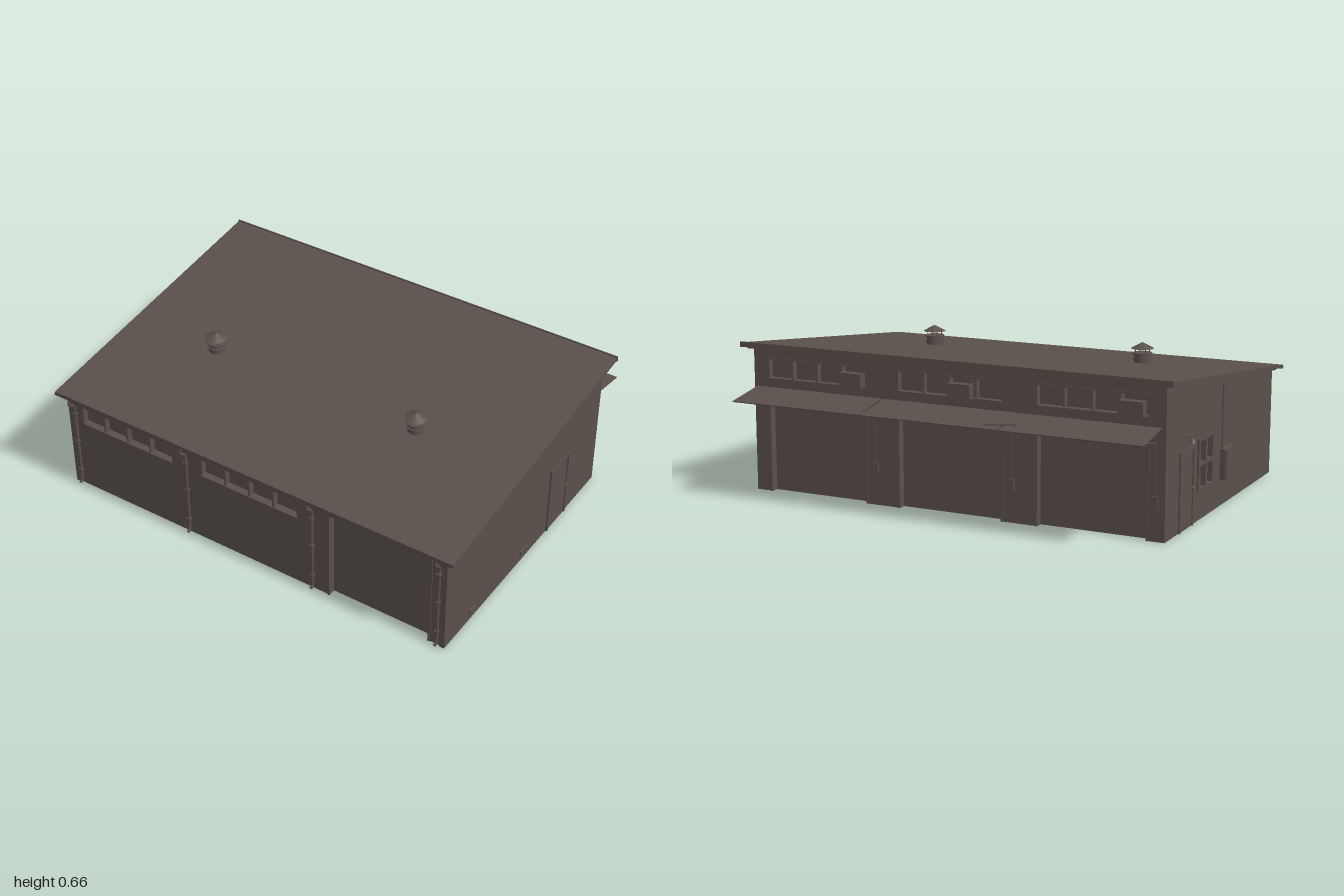
import * as THREE from 'three';

const brown = new THREE.MeshStandardMaterial({ color: 0x5a504a, side: THREE.DoubleSide });
brown.name = 'weathered brown';

const X = 0.957, ZF = 0.715, ZB = -0.565, T = 0.012; // wall faces and thickness
const under = (z) => 0.475 + (0.755 - z) * 0.1176;   // underside of the sloping roof
const BAYS = [-0.64, 0, 0.64];

function mesh(parent, name, geo, x = 0, y = 0, z = 0) {
  const m = new THREE.Mesh(geo, brown);
  m.name = name;
  m.position.set(x, y, z);
  parent.add(m);
  return m;
}

// Box given by its limits
function box(parent, name, x0, x1, y0, y1, z0, z1) {
  return mesh(parent, name, new THREE.BoxGeometry(x1 - x0, y1 - y0, z1 - z0),
    (x0 + x1) / 2, (y0 + y1) / 2, (z0 + z1) / 2);
}

// Round bar between two points
function rod(parent, name, a, b, r = 0.004) {
  const p = new THREE.Vector3(...a), q = new THREE.Vector3(...b);
  const m = mesh(parent, name, new THREE.CylinderGeometry(r, r, p.distanceTo(q), 8));
  m.position.copy(p).add(q).multiplyScalar(0.5);
  m.quaternion.setFromUnitVectors(new THREE.Vector3(0, 1, 0), q.sub(p).normalize());
  return m;
}

const poly = (pts) => new THREE.Shape(pts.map(([a, b]) => new THREE.Vector2(a, b)));
const rect = (a0, a1, b0, b1) => poly([[a0, b0], [a1, b0], [a1, b1], [a0, b1]]);

function wallGeometry(outline, holes) {
  const s = poly(outline);
  holes.forEach((h) => s.holes.push(rect(...h)));
  return new THREE.ExtrudeGeometry(s, { depth: T, bevelEnabled: false });
}

// Wall outline with door openings cut up from the ground
function groundOutline(w, h, doors) {
  const pts = [[-w, 0]];
  doors.forEach(([a, b, top]) => pts.push([a, 0], [a, top], [b, top], [b, 0]));
  pts.push([w, 0], [w, h], [-w, h]);
  return pts;
}

// Four-pane strip window; out is the outward z direction
function stripWindow(parent, cx, y0, y1, face, out) {
  const g = new THREE.Group();
  g.name = 'stripWindow';
  const w = 0.245, back = face - out * 0.03;
  box(g, 'windowPanes', cx - w, cx + w, y0, y1, back - 0.002, back + 0.002);
  for (let i = 0; i <= 4; i++) {
    const x = cx - w + i * w / 2;
    box(g, 'mullion', x - 0.004, x + 0.004, y0, y1, Math.min(back, face), Math.max(back, face));
  }
  for (const y of [y0, y1])
    box(g, 'windowRail', cx - w, cx + w, y - 0.004, y + 0.004, Math.min(back, face + out * 0.004), Math.max(back, face + out * 0.004));
  parent.add(g);
}

// Wide bay door set back in its opening
function bayDoor(parent, cx, top, face, out) {
  const g = new THREE.Group();
  g.name = 'bayDoor';
  const w = 0.243, back = face - out * 0.035, zs = [back, face + out * 0.004].sort((a, b) => a - b);
  box(g, 'doorPanel', cx - w, cx + w, 0, top, back - 0.003, back + 0.003);
  for (const s of [-1, 1]) box(g, 'doorJamb', cx + s * w - 0.005, cx + s * w + 0.005, 0, top, ...zs);
  box(g, 'doorLintel', cx - w, cx + w, top - 0.005, top + 0.005, ...zs);
  parent.add(g);
}

// Personnel door with frame on a side wall
function sideDoor(parent, side, z0, z1, top, knobZ) {
  const g = new THREE.Group();
  g.name = 'sideDoor';
  const f = (name, d, ...r) => box(g, name, Math.min(side * X, side * (X + d)), Math.max(side * X, side * (X + d)), ...r);
  f('doorLeaf', 0.002, 0, top, z0, z1);
  f('doorFrame', 0.007, 0, top, z0, z0 + 0.01);
  f('doorFrame', 0.007, 0, top, z1 - 0.01, z1);
  f('doorFrame', 0.007, top - 0.01, top, z0, z1);
  mesh(g, 'doorKnob', new THREE.SphereGeometry(0.007, 10, 8), side * (X + 0.008), 0.16, knobZ);
  parent.add(g);
}

export function createModel() {
  const root = new THREE.Group();
  root.name = 'garage';

  // Front and back walls
  mesh(root, 'frontWall', wallGeometry(groundOutline(X, under(ZF), [[0.395, 0.882, 0.44]]),
    [[-0.885, -0.395, 0.345, 0.44], [-0.245, 0.245, 0.345, 0.44]]), 0, 0, ZF - T);
  mesh(root, 'backWall', wallGeometry(groundOutline(X, under(ZB), BAYS.map((c) => [c - 0.243, c + 0.243, 0.43])),
    BAYS.map((c) => [c - 0.245, c + 0.245, 0.5, 0.59])), 0, 0, ZB);
  for (const c of [-0.64, 0]) stripWindow(root, c, 0.345, 0.44, ZF, 1);
  bayDoor(root, 0.639, 0.44, ZF, 1);
  for (const c of BAYS) {
    stripWindow(root, c, 0.5, 0.59, ZB, -1);
    bayDoor(root, c, 0.43, ZB, -1);
  }

  // Side walls follow the roof slope
  const sideOutline = [[ZB, 0], [ZF, 0], [ZF, under(ZF)], [ZB, under(ZB)]];
  const left = mesh(root, 'sideWall', wallGeometry(sideOutline, []), X);
  const right = mesh(root, 'sideWall', wallGeometry(sideOutline, [[-0.21, -0.05, 0.13, 0.34]]), -X + T);
  left.rotation.y = right.rotation.y = -Math.PI / 2;

  // Roof slab, with a thinner trim board below it
  const slab = (name, z0, z1, lo, hi, half) => {
    const s = poly([[z0, under(z0) + lo], [z1, under(z1) + lo], [z1, under(z1) + hi], [z0, under(z0) + hi]]);
    const m = mesh(root, name, new THREE.ExtrudeGeometry(s, { depth: half * 2, bevelEnabled: false }), half);
    m.rotation.y = -Math.PI / 2;
  };
  slab('roof', -0.605, 0.752, 0.007, 0.021, 0.998);
  slab('roofTrim', -0.585, 0.725, -0.004, 0.007, 0.975);
  box(root, 'backFascia', -1, 1, 0.637, 0.66, -0.608, -0.602);

  // Gutter and downpipes
  const gutter = mesh(root, 'gutter', new THREE.CylinderGeometry(0.013, 0.013, 1.996, 10, 1, true, -Math.PI / 2, Math.PI), 0, 0.492, 0.747);
  gutter.rotation.set(0, 0, Math.PI / 2);
  gutter.rotation.order = 'XYZ';
  gutter.geometry.rotateY(-Math.PI / 2);
  for (const x of [-0.922, -0.32, 0.32, 0.922]) {
    const path = new THREE.CatmullRomCurve3([[0.478, 0.75], [0.455, 0.753], [0.435, 0.728], [0.41, 0.723],
      [0.2, 0.723], [0.04, 0.723], [0.02, 0.727], [0.008, 0.737]].map(([y, z]) => new THREE.Vector3(x, y, z)));
    mesh(root, 'downpipe', new THREE.TubeGeometry(path, 40, 0.007, 8));
    for (const y of [0.08, 0.24, 0.39]) box(root, 'pipeBracket', x - 0.01, x + 0.01, y - 0.004, y + 0.004, ZF, 0.732);
  }
  for (const x of [-0.945, 0.945]) box(root, 'cornerPost', x - 0.012, x + 0.012, 0, 0.475, ZF, ZF + 0.006);

  // Roof ventilators
  for (const x of [-0.545, 0.48]) {
    const v = new THREE.Group();
    v.name = 'roofVentilator';
    v.position.set(x, 0, 0.187);
    mesh(v, 'ventPipe', new THREE.CylinderGeometry(0.036, 0.036, 0.06, 24), 0, 0.575, 0);
    for (const y of [0.584, 0.604]) mesh(v, 'ventCollar', new THREE.CylinderGeometry(0.043, 0.043, 0.007, 24), 0, y, 0);
    for (let i = 0; i < 4; i++) {
      const a = i * Math.PI / 2 + Math.PI / 4;
      rod(v, 'ventPost', [0.033 * Math.cos(a), 0.6, 0.033 * Math.sin(a)], [0.033 * Math.cos(a), 0.63, 0.033 * Math.sin(a)], 0.002);
    }
    mesh(v, 'ventCap', new THREE.ConeGeometry(0.05, 0.027, 24), 0, 0.64, 0);
    root.add(v);
  }

  // Back awnings on struts
  for (const c of BAYS) {
    const g = new THREE.Group();
    g.name = 'awning';
    const sheet = box(g, 'awningSheet', c * 0.985 - 0.31, c * 0.985 + 0.31, 0.444, 0.448, -0.762, -0.568);
    sheet.rotation.x = -0.17;
    for (const s of [-0.28, 0.28]) {
      const x = c * 0.985 + s;
      rod(g, 'awningStrut', [x, 0.4, ZB], [x, 0.428, -0.73], 0.003);
      rod(g, 'awningRafter', [x, 0.455, ZB], [x, 0.428, -0.73], 0.003);
    }
    root.add(g);
  }
  const patch = mesh(root, 'loosePatch', new THREE.BoxGeometry(0.13, 0.004, 0.11), -0.3, 0.455, -0.675);
  patch.rotation.set(-0.17, 0.27, 0);

  // Window units and control boxes on the back
  for (const x of [0.455, -0.06, -0.82]) box(root, 'coolingUnit', x - 0.053, x + 0.053, 0.503, 0.565, -0.603, ZB);
  for (const x of [0.355, -0.285, -0.915]) {
    box(root, 'controlBox', x - 0.014, x + 0.014, 0.135, 0.185, ZB - 0.008, ZB);
    rod(root, 'cableConduit', [x, 0.185, ZB - 0.003], [x, 0.4, ZB - 0.003], 0.002);
  }

  // Door and low vents on the +x wall
  sideDoor(root, 1, -0.295, -0.13, 0.333, -0.275);
  for (const z of [0.5, 0.073]) box(root, 'wallVent', X, X + 0.006, 0.035, 0.054, z - 0.03, z + 0.03);

  // Door, lamp, window and cabinet on the -x wall
  sideDoor(root, -1, -0.42, -0.265, 0.333, -0.285);
  rod(root, 'lampArm', [-X, 0.385, -0.34], [-0.985, 0.385, -0.34], 0.003);
  mesh(root, 'lampShade', new THREE.ConeGeometry(0.016, 0.025, 16), -0.982, 0.373, -0.34);
  box(root, 'sideWindowPane', -X + 0.014, -X + 0.018, 0.13, 0.34, -0.21, -0.05);
  for (const z of [-0.21, -0.13, -0.05]) box(root, 'sideWindowFrame', -X - 0.008, -X + 0.014, 0.122, 0.348, z - 0.006, z + 0.006);
  for (const y of [0.13, 0.235, 0.34]) box(root, 'sideWindowFrame', -X - 0.008, -X + 0.014, y - 0.006, y + 0.006, -0.21, -0.05);
  box(root, 'wallCabinet', -0.982, -X, 0.115, 0.25, 0.055, 0.175);
  box(root, 'cabinetDoor', -0.986, -0.982, 0.125, 0.24, 0.063, 0.167);
  rod(root, 'cabinetConduit', [-X - 0.005, 0.25, 0.07], [-X - 0.005, 0.53, 0.07], 0.004);

  return root;
}
